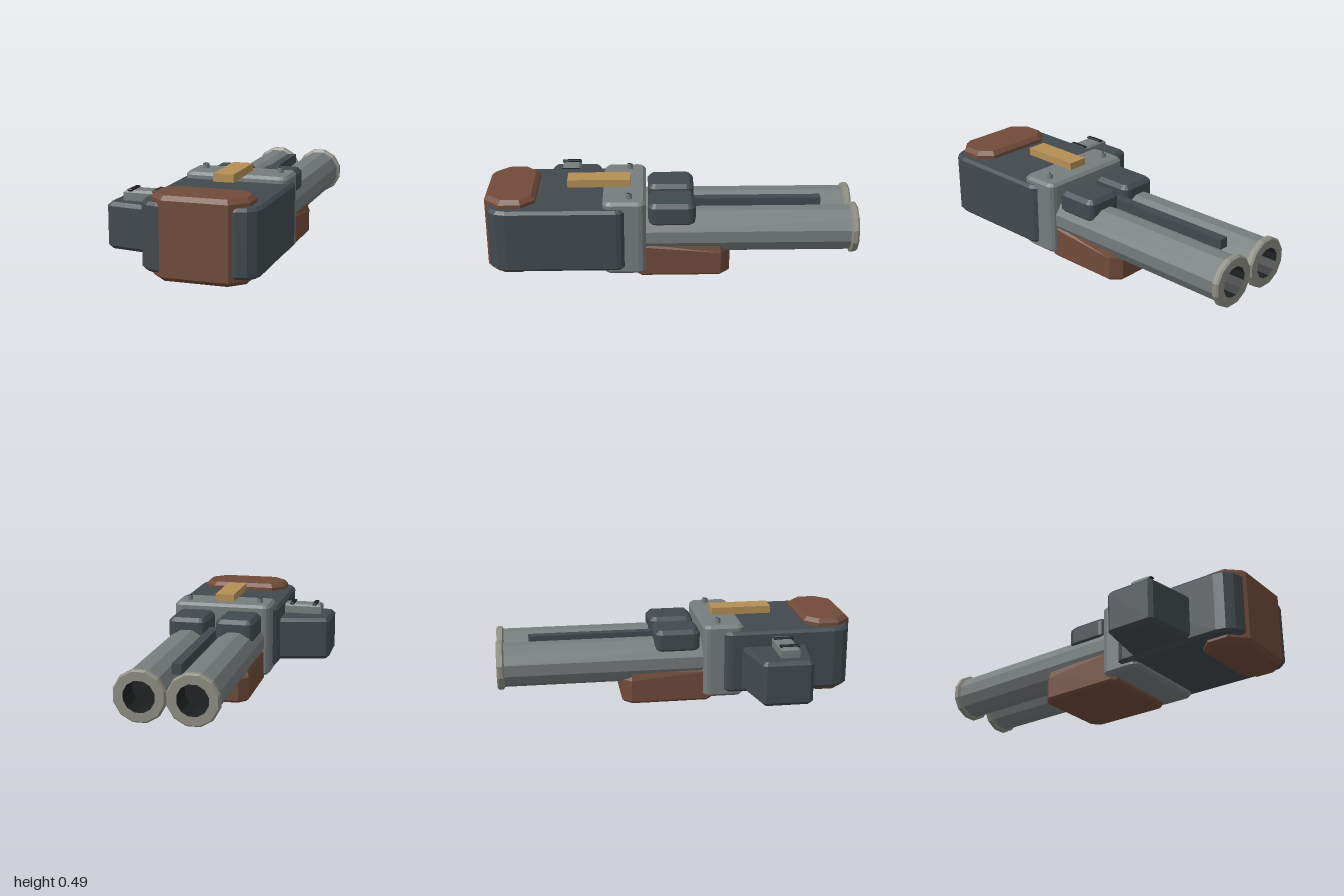
import * as THREE from 'three';

const mat = (name, color) => {
  const m = new THREE.MeshStandardMaterial({ color, flatShading: true });
  m.name = name;
  return m;
};

export function createModel() {
  const root = new THREE.Group();
  root.name = 'doubleBarrelGun';
  const dark = mat('dark gunmetal', 0x42494e);
  const steel = mat('grey steel', 0x767c7c);
  const rimSteel = mat('light muzzle steel', 0x8c8c82);
  const brown = mat('brown leather', 0x704b3a);
  const brass = mat('brass', 0xb48f55);
  const black = mat('black', 0x1e2122);
  const CX = 0.1425; // centre line of the main body

  const add = (name, geo, material, x = 0, y = 0, z = 0) => {
    const mesh = new THREE.Mesh(geo, material);
    mesh.name = name;
    mesh.position.set(x, y, z);
    root.add(mesh);
    return mesh;
  };

  // Rectangle in plan with cut corners, as [x, z] points
  const plan = (hw, z0, z1, cutBack, cutFront, round = false) => {
    const pts = [];
    const n = round ? 3 : 1;
    const corner = (sx, z, sz, c, from) => {
      for (let i = 0; i <= n; i++) {
        const a = from + (i / n) * Math.PI / 2;
        pts.push([sx * (hw - c) + c * Math.cos(a), z - sz * c - c * Math.sin(a)]);
      }
    };
    corner(1, z1, 1, cutFront, -Math.PI / 2);
    corner(1, z0, -1, cutBack, 0);
    corner(-1, z0, -1, cutBack, Math.PI / 2);
    corner(-1, z1, 1, cutFront, Math.PI);
    return pts;
  };

  // Upright block over a plan, with bevelled top and bottom edges
  const block = (pts, y0, y1, bevel) => {
    const shape = new THREE.Shape(pts.map(([x, z]) => new THREE.Vector2(x, -z)));
    const geo = new THREE.ExtrudeGeometry(shape, {
      depth: y1 - y0 - 2 * bevel, bevelEnabled: true, bevelThickness: bevel,
      bevelSize: bevel, bevelOffset: -bevel, bevelSegments: 1,
    });
    return geo.rotateX(-Math.PI / 2).translate(0, y0 + bevel, 0);
  };

  // Main body, end cap and receiver band
  add('body', block(plan(0.308, 0.25, 0.985, 0.05, 0.105, true), 0.06, 0.41, 0.016), dark, CX);
  add('endCap', block(plan(0.255, 0.73, 1.0, 0.07, 0.085), 0.025, 0.45, 0.022), brown, CX);
  add('receiver', block(plan(0.283, 0.14, 0.37, 0.04, 0.04, true), 0.03, 0.445, 0.016), steel, CX);

  // Fore grip under the barrels; its upper far edge is sloped
  const grip = block(plan(0.25, -0.31, 0.2, 0.05, 0.03), 0, 0.187, 0.014);
  const p = grip.attributes.position;
  for (let i = 0; i < p.count; i++) {
    if (p.getY(i) > 0.1 && p.getZ(i) < -0.2) {
      if (p.getY(i) > 0.18) p.setZ(i, Math.max(p.getZ(i), -0.25));
      else p.setY(i, 0.135);
    }
  }
  grip.computeVertexNormals();
  add('foreGrip', grip, brown, CX);

  // Barrels with flared muzzles, hollow bores and breech blocks
  const lathe = (pts) => new THREE.LatheGeometry(
    pts.map(([r, y]) => new THREE.Vector2(r, y)), 12, Math.PI / 12).rotateX(-Math.PI / 2);
  const breechPlan = plan(0.11, -0.125, 0.13, 0.04, 0.04, true);
  for (const side of [-1, 1]) {
    const x = CX + side * 0.135;
    add('barrel', lathe([[0.123, -0.16], [0.123, 0.965]]), steel, x, 0.23);
    add('muzzleRim', lathe([[0.12, 0.957], [0.138, 0.967], [0.138, 0.99], [0.13, 1], [0.083, 1]]),
      rimSteel, x, 0.23);
    add('bore', lathe([[0.083, 1], [0.083, 0.85], [0, 0.85]]), black, x, 0.23);
    add('breechBlock', block(breechPlan, 0.285, 0.415, 0.022), dark, x);

    // Slotted screw on the receiver
    const sx = CX + side * 0.21;
    add('screw', new THREE.CylinderGeometry(0.017, 0.017, 0.03, 10), steel, sx, 0.455, 0.23);
    add('screwSlot', new THREE.BoxGeometry(0.026, 0.004, 0.006), black, sx, 0.47, 0.23)
      .rotation.y = Math.PI / 4;
  }

  // Rib between the barrels and brass slide on top
  add('rib', new THREE.BoxGeometry(0.05, 0.055, 0.77), dark, 0.137, 0.3275, -0.435);
  add('brassSlide', new THREE.BoxGeometry(0.111, 0.042, 0.34), brass, CX, 0.464, 0.395);

  // Tapered side housing
  const housing = [[-0.14, 0.735], [-0.435, 0.69], [-0.453, 0.67], [-0.453, 0.43], [-0.435, 0.41], [-0.14, 0.35]];
  add('sideHousing', block(housing, 0.075, 0.325, 0.02), dark);

  // Plate on the housing with two black straps
  const plate = [[-0.15, 0.625], [-0.384, 0.625], [-0.384, 0.52], [-0.15, 0.52]];
  add('sidePlate', block(plate, 0.31, 0.38, 0.012), steel);
  for (const x of [-0.345, -0.208]) {
    add('strap', block([[-0.013, 0.63], [-0.013, 0.52], [0.013, 0.52], [0.013, 0.63]], 0.375, 0.388, 0.004), black, x);
  }
  return root;
}
